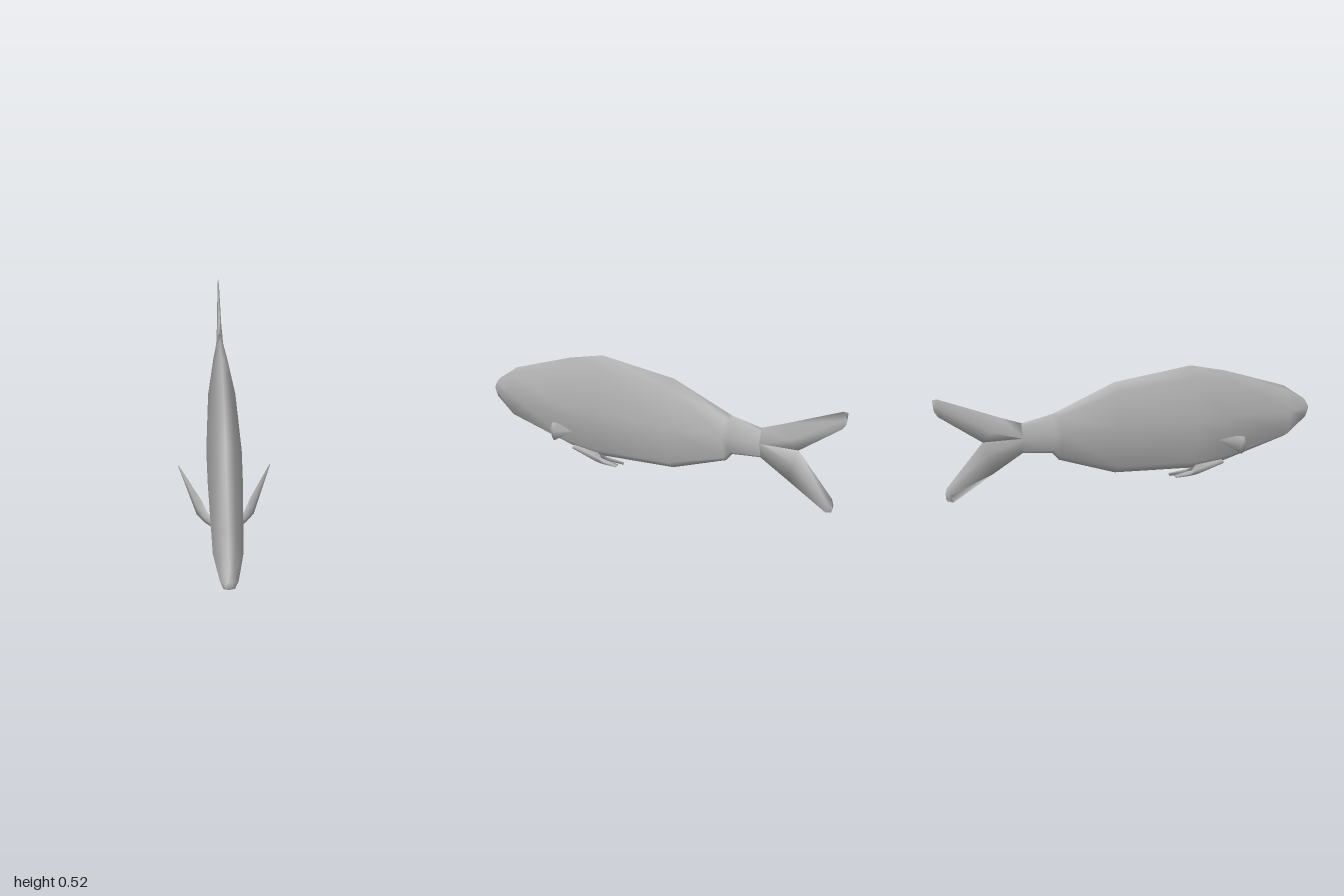
import * as THREE from 'three';

const skin = new THREE.MeshStandardMaterial({ color: 0xb8b8b8 });
skin.name = 'grey skin';

// Closed smooth surface through rings of equal point count; faces always point outward.
function loft(name, rings) {
  const n = rings[0].length;
  const pts = rings.flat();
  const tris = [];
  for (let r = 0; r < rings.length - 1; r++) {
    for (let i = 0; i < n; i++) {
      const a = r * n + i, b = r * n + (i + 1) % n;
      tris.push([a, b, b + n], [a, b + n, a + n]);
    }
  }
  const last = (rings.length - 1) * n;
  for (let i = 1; i < n - 1; i++) {
    tris.push([0, i + 1, i], [last, last + i, last + i + 1]);
  }
  const v = pts.map((p) => new THREE.Vector3(...p));
  const origin = v[0];
  let volume = 0;
  for (const [a, b, c] of tris) {
    const [p, q, s] = [a, b, c].map((k) => v[k].clone().sub(origin));
    volume += p.dot(q.cross(s));
  }
  const geometry = new THREE.BufferGeometry();
  geometry.setAttribute('position', new THREE.Float32BufferAttribute(pts.flat(), 3));
  geometry.setIndex(tris.flatMap(([a, b, c]) => (volume < 0 ? [a, c, b] : [a, b, c])));
  geometry.computeVertexNormals();
  const mesh = new THREE.Mesh(geometry, skin);
  mesh.name = name;
  return mesh;
}

// Body ring: ridge on the back, shoulders, widest flank, lower flank, belly.
function bodyRing([z, top, bottom, w, mid]) {
  const h = top - bottom;
  const half = [[0.49 * w, top - 0.1 * h], [w, mid], [0.62 * w, bottom + 0.075 * h]];
  return [
    [0, top, z],
    ...half.map(([x, y]) => [x, y, z]),
    [0, bottom, z],
    ...half.reverse().map(([x, y]) => [-x, y, z]),
  ];
}

// Tail ring: thin diamond between an upper and a lower edge point [z, y].
function tailRing([z1, y1, z2, y2, w, t]) {
  const z = z1 + (z2 - z1) * t, y = y1 + (y2 - y1) * t;
  return [[0, y1, z1], [w, y, z], [0, y2, z2], [-w, y, z]];
}

// Side fin ring: blade between two edge points, thickened sideways.
function finRing(side, [top, bottom, t]) {
  const m = top.map((c, i) => (c + bottom[i]) / 2);
  return [top, [m[0] + t, m[1], m[2] + t / 2], bottom, [m[0] - t, m[1], m[2] - t / 2]]
    .map(([x, y, z]) => [x * side, y, z]);
}

export function createModel() {
  const fish = new THREE.Group();
  fish.name = 'fish';

  // Body: z, top, bottom, half width, height of widest line
  const body = [
    [1.0, 0.285, 0.245, 0.016, 0.265],
    [0.975, 0.315, 0.215, 0.034, 0.265],
    [0.84, 0.388, 0.128, 0.057, 0.262],
    [0.45, 0.485, 0.048, 0.072, 0.265],
    [0.24, 0.52, 0.035, 0.076, 0.265],
    [-0.18, 0.467, 0.065, 0.064, 0.265],
    [-0.46, 0.362, 0.155, 0.037, 0.265],
    [-0.49, 0.352, 0.188, 0.034, 0.265],
    [-0.63, 0.325, 0.202, 0.018, 0.262],
  ];
  fish.add(loft('body', body.map(bodyRing)));

  // Forked tail: both lobes share the centre line at the root
  fish.add(loft('upperTailLobe', [
    [-0.625, 0.325, -0.625, 0.262, 0.018, 1],
    [-0.72, 0.357, -0.8, 0.264, 0.011, 0.6],
    [-0.98, 0.45, -0.98, 0.382, 0.004, 0.5],
    [-1.0, 0.448, -0.993, 0.4, 0.002, 0.5],
  ].map(tailRing)));
  fish.add(loft('lowerTailLobe', [
    [-0.625, 0.262, -0.625, 0.202, 0.018, 0],
    [-0.8, 0.264, -0.76, 0.13, 0.011, 0.4],
    [-0.955, 0.098, -0.93, 0.037, 0.004, 0.5],
    [-0.962, 0.075, -0.955, 0.045, 0.002, 0.5],
  ].map(tailRing)));

  // Paired fins: upper edge, lower edge, half thickness
  const pectoral = [
    [[0.055, 0.155, 0.535], [0.045, 0.098, 0.545], 0.008],
    [[0.078, 0.168, 0.51], [0.085, 0.097, 0.505], 0.008],
    [[0.103, 0.182, 0.45], [0.12, 0.097, 0.455], 0.006],
    [[0.195, 0.199, 0.26], [0.2, 0.193, 0.25], 0.001],
  ];
  const pelvic = [
    [[0.014, 0.06, 0.42], [0.02, 0.038, 0.43], 0.006],
    [[0.016, 0.05, 0.26], [0.026, 0.006, 0.27], 0.005],
    [[0.019, 0.026, 0.24], [0.027, 0.002, 0.22], 0.004],
    [[0.021, 0.019, 0.13], [0.026, 0.003, 0.14], 0.002],
  ];
  for (const [side, label] of [[1, 'left'], [-1, 'right']]) {
    fish.add(loft(label + 'PectoralFin', pectoral.map((r) => finRing(side, r))));
    fish.add(loft(label + 'PelvicFin', pelvic.map((r) => finRing(side, r))));
  }
  return fish;
}
